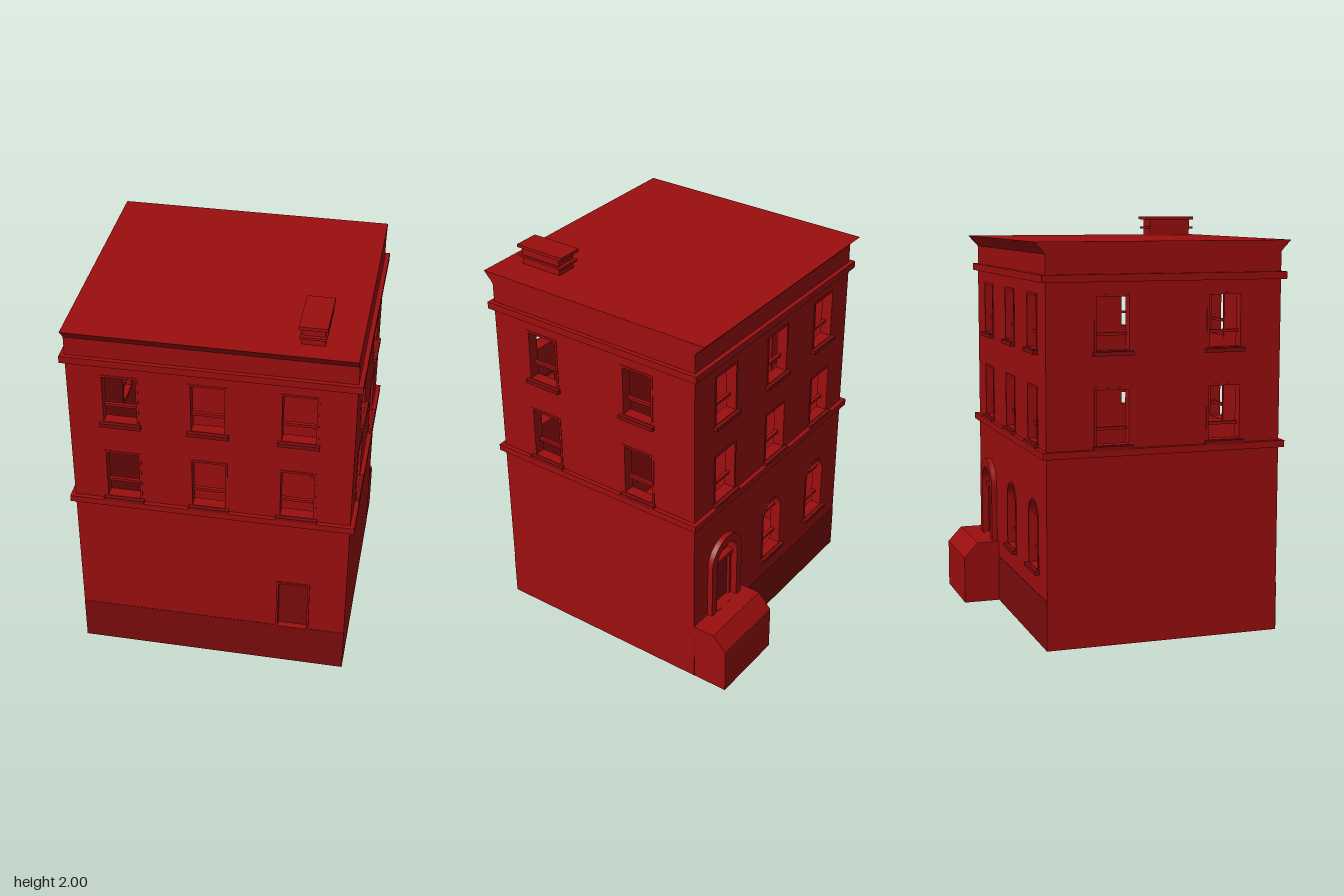
import * as THREE from 'three';

const brick = new THREE.MeshStandardMaterial({ color: 0x9c0e0e });
const dark = new THREE.MeshStandardMaterial({ color: 0x7c0c0c });
const T = 0.05; // wall thickness
const X0 = -0.67, X1 = 0.667, ZF = 0.645, ZB = -0.515;

function add(parent, name, geo, mat = brick) {
  const m = new THREE.Mesh(geo, mat);
  m.name = name;
  parent.add(m);
  return m;
}

// Box given by its limits on each axis
function box(parent, name, x0, x1, y0, y1, z0, z1, mat) {
  const m = add(parent, name, new THREE.BoxGeometry(x1 - x0, y1 - y0, z1 - z0), mat);
  m.position.set((x0 + x1) / 2, (y0 + y1) / 2, (z0 + z1) / 2);
  return m;
}

// Outline of an opening, square or round-headed
function outline(type, { x, w, y0, y1, arch }, grow = 0, base = grow) {
  const s = new type(), h = w / 2 + grow, top = y1 + grow;
  s.moveTo(x - h, y0 - base);
  s.lineTo(x + h, y0 - base);
  if (arch) {
    s.lineTo(x + h, top - h);
    s.absarc(x, top - h, h, 0, Math.PI, false);
  } else {
    s.lineTo(x + h, top);
    s.lineTo(x - h, top);
  }
  s.lineTo(x - h, y0 - base);
  return s;
}

function extrude(parent, name, shape, z0, z1, mat) {
  const geo = new THREE.ExtrudeGeometry(shape, { depth: z1 - z0, bevelEnabled: false, curveSegments: 12 });
  geo.translate(0, 0, z0);
  return add(parent, name, geo, mat);
}

// Frame, sash bar and sill in an opening
function windowParts(wall, o) {
  const g = new THREE.Group();
  g.name = 'window';
  wall.add(g);
  const ring = outline(THREE.Shape, o);
  ring.holes.push(outline(THREE.Path, o, -0.011));
  extrude(g, 'windowFrame', ring, -T - 0.003, 0.003);
  const h = o.w / 2, bar = o.y0 + 0.085;
  box(g, 'sashBar', o.x - h, o.x + h, bar - 0.007, bar + 0.007, -0.045, -0.028);
  if (o.arch) box(g, 'springBar', o.x - h, o.x + h, o.y1 - h - 0.006, o.y1 - h + 0.006, -0.045, -0.028);
  box(g, 'sill', o.x - h - 0.008, o.x + h + 0.008, o.y0 - 0.012, o.y0 + 0.008, -0.03, 0.022, dark);
}

// Wall in its own frame: x along the wall, +z outward
function makeWall(parent, name, x0, x1, windows, doors = []) {
  const wall = new THREE.Group();
  wall.name = name;
  parent.add(wall);
  const s = new THREE.Shape([[x0, 0], [x1, 0], [x1, 1.86], [x0, 1.86]].map(p => new THREE.Vector2(...p)));
  for (const o of [...windows, ...doors]) s.holes.push(outline(THREE.Path, o));
  extrude(wall, name + 'Panel', s, -T, 0);
  windows.forEach(o => windowParts(wall, o));
  return wall;
}

// Two upper storeys of windows at the given centres
function upperWindows(centres) {
  return centres.flatMap(x => [[0.95, 1.23], [1.39, 1.66]].map(([y0, y1]) => ({ x, w: 0.18, y0, y1 })));
}

export function createModel() {
  const house = new THREE.Group();
  house.name = 'townHouse';

  // Front wall with small door
  const frontDoor = { x: 0.405, w: 0.165, y0: 0.237, y1: 0.533 };
  const front = makeWall(house, 'frontWall', X0, X1, upperWindows([-0.425, -0.012, 0.41]), [frontDoor]);
  front.position.z = ZF;
  box(front, 'plinth', X0, X1, 0, 0.237, -0.01, 0.002, dark);
  const frame = outline(THREE.Shape, frontDoor, 0, 0);
  frame.holes.push(outline(THREE.Path, frontDoor, -0.01, -0.001));
  extrude(front, 'frontDoorFrame', frame, -T, 0.007);
  box(front, 'frontDoor', 0.325, 0.485, 0.237, 0.53, -0.045, -0.025, dark);

  // Back wall with arched windows and entrance (x is mirrored)
  const entry = { x: -0.425, w: 0.17, y0: 0.315, y1: 0.687, arch: true };
  const arched = [0.02, 0.437].map(x => ({ x, w: 0.18, y0: 0.345, y1: 0.685, arch: true }));
  const back = makeWall(house, 'backWall', -X1, -X0,
    [...upperWindows([-0.418, 0.018, 0.437]), ...arched], [entry]);
  back.rotation.y = Math.PI;
  back.position.z = ZB;
  box(back, 'plinth', -X1, -X0, 0, 0.237, -0.01, 0.002, dark);
  const surround = outline(THREE.Shape, entry, 0.042, 0);
  surround.holes.push(outline(THREE.Path, entry, 0, -0.001));
  extrude(back, 'entranceSurround', surround, -0.02, 0.028);
  extrude(back, 'fanlight', outline(THREE.Shape, entry), -0.045, -0.03);
  box(back, 'entranceDoor', -0.495, -0.355, 0.315, 0.57, -0.03, -0.02, dark);
  box(back, 'transom', -0.51, -0.34, 0.57, 0.592, -0.04, 0.005);
  for (const x of [-0.503, -0.347]) box(back, 'doorJamb', x - 0.008, x + 0.008, 0.315, 0.575, -0.04, -0.005);

  // Side walls
  const right = makeWall(house, 'rightWall', -ZF + T, -ZB - T, upperWindows([-0.36, 0.195]));
  right.rotation.y = Math.PI / 2;
  right.position.x = X1;
  const left = makeWall(house, 'leftWall', ZB + T, ZF - T, upperWindows([-0.195, 0.36]));
  left.rotation.y = -Math.PI / 2;
  left.position.x = X0;

  // Base slab
  box(house, 'baseSlab', X0 + 0.002, X1 - 0.002, 0, 0.03, ZB + 0.002, ZF - 0.002);

  // Profiles in (z, y) run along x
  const alongX = (name, pts, x0, x1) => {
    const m = extrude(house, name, new THREE.Shape(pts.map(([z, y]) => new THREE.Vector2(-z, y))), x0, x1);
    m.rotation.y = Math.PI / 2;
  };
  alongX('corniceRoof', [[ZF, 1.845], [ZF + 0.012, 1.86], [0.695, 1.9], [-0.567, 1.9],
    [ZB - 0.012, 1.86], [ZB, 1.845]], X0, X1);
  alongX('entranceStoop', [[ZB + 0.01, 0], [ZB + 0.01, 0.315], [-0.63, 0.315], [-0.7, 0.24], [-0.7, 0]], 0.262, X1 - 0.001);

  // String courses
  for (const [y0, y1] of [[0.91, 0.943], [1.717, 1.752]]) {
    const g = new THREE.Group();
    g.name = 'stringCourse';
    house.add(g);
    box(g, 'courseFront', -0.692, 0.689, y0, y1, ZF - 0.01, ZF + 0.022);
    box(g, 'courseBack', -0.692, 0.689, y0, y1, ZB - 0.022, ZB + 0.01);
    box(g, 'courseRight', X1 - 0.01, 0.689, y0, y1, ZB + 0.01, ZF - 0.01);
    box(g, 'courseLeft', -0.692, X0 + 0.01, y0, y1, ZB + 0.01, ZF - 0.01);
  }

  // Chimney
  box(house, 'chimneyStack', 0.4, 0.505, 1.89, 1.99, 0.37, 0.592);
  box(house, 'chimneyCollar', 0.392, 0.513, 1.936, 1.947, 0.352, 0.61);
  box(house, 'chimneyCap', 0.388, 0.517, 1.985, 2.0, 0.346, 0.612);

  return house;
}
